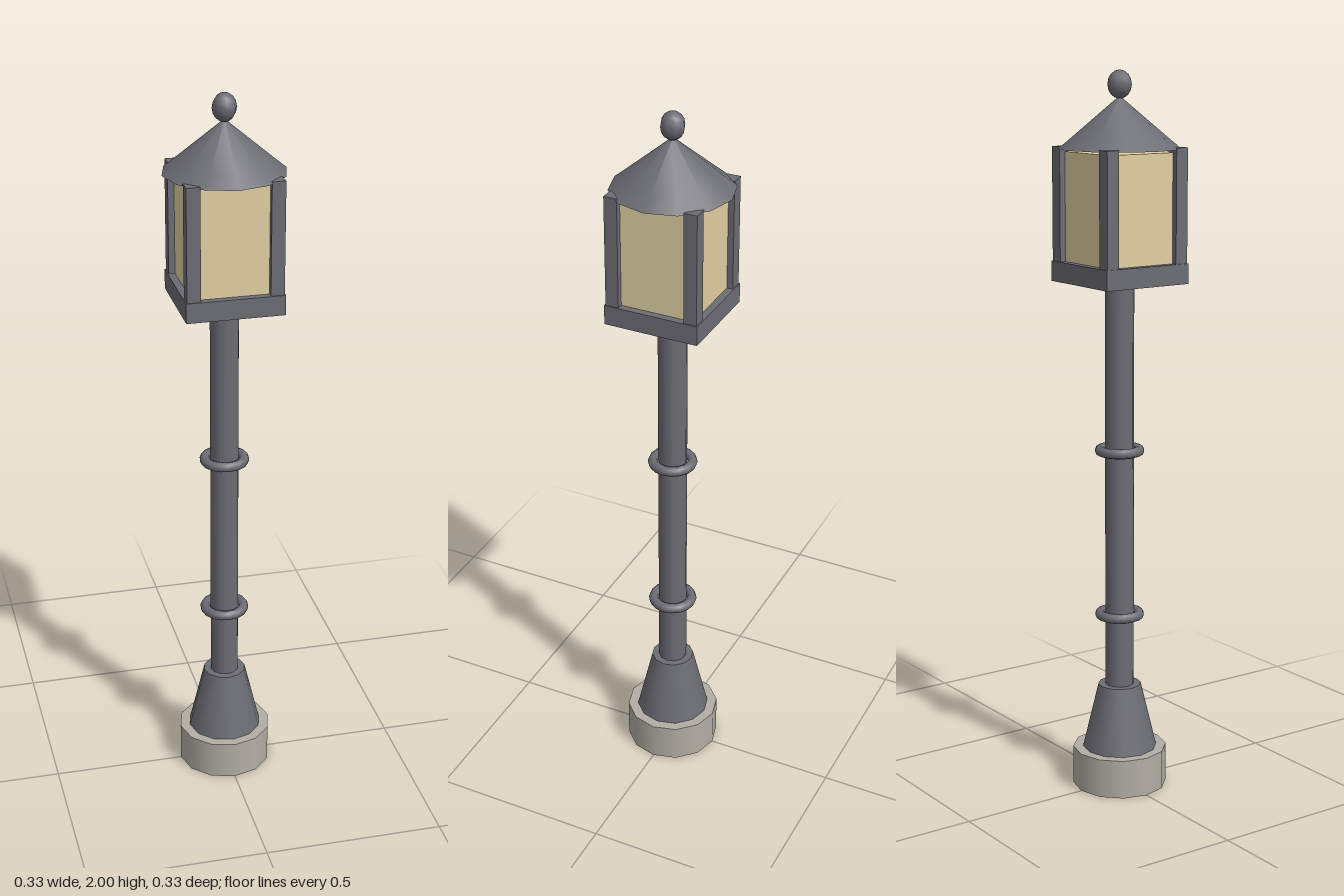
import * as THREE from 'three';

export function createModel() {
  const lamp = new THREE.Group();
  lamp.name = 'streetLamp';
  const metal = new THREE.MeshStandardMaterial({ color: 0x6c6c74 });
  const roofMetal = new THREE.MeshStandardMaterial({ color: 0x6c6c74, side: THREE.DoubleSide });
  const stone = new THREE.MeshStandardMaterial({ color: 0xb2aea4 });
  const glass = new THREE.MeshStandardMaterial({ color: 0xe0d0a2 });

  const add = (name, geometry, material, x, y, z) => {
    const mesh = new THREE.Mesh(geometry, material);
    mesh.name = name;
    mesh.position.set(x, y, z);
    lamp.add(mesh);
    return mesh;
  };
  // Round part given by its bottom and top heights
  const round = (name, rBottom, rTop, y0, y1, material, sides = 12, open = false) =>
    add(name, new THREE.CylinderGeometry(rTop, rBottom, y1 - y0, sides, 1, open), material, 0, (y0 + y1) / 2, 0);

  // Foot and pole
  round('stoneFoot', 0.132, 0.132, 0, 0.11, stone);
  round('taperedBase', 0.104, 0.06, 0.11, 0.295, metal);
  round('pole', 0.04, 0.04, 0.29, 1.44, metal);

  // Decorative rings around the pole
  for (const y of [0.5, 0.97]) {
    add('poleRing', new THREE.TorusGeometry(0.055, 0.014, 8, 16), metal, 0, y, 0).rotation.x = Math.PI / 2;
  }

  // Lantern: tray, glazed box and four corner posts
  add('lanternTray', new THREE.BoxGeometry(0.266, 0.055, 0.266), metal, 0, 1.4625, 0);
  add('lanternGlass', new THREE.BoxGeometry(0.226, 0.297, 0.226), glass, 0, 1.6365, 0);
  for (const x of [-1, 1]) {
    for (const z of [-1, 1]) {
      add('cornerPost', new THREE.BoxGeometry(0.037, 0.31, 0.037), metal, x * 0.1115, 1.643, z * 0.1115);
    }
  }

  // Roof: eave band below a cone, both on one slope
  round('roofEave', 0.165, 0.13, 1.793, 1.822, roofMetal, 12, true);
  round('roofCone', 0.13, 0.005, 1.822, 1.928, roofMetal, 12, true);

  // Finial
  add('finial', new THREE.SphereGeometry(0.033, 8, 8), metal, 0, 1.962, 0).scale.y = 0.038 / 0.033;

  return lamp;
}
